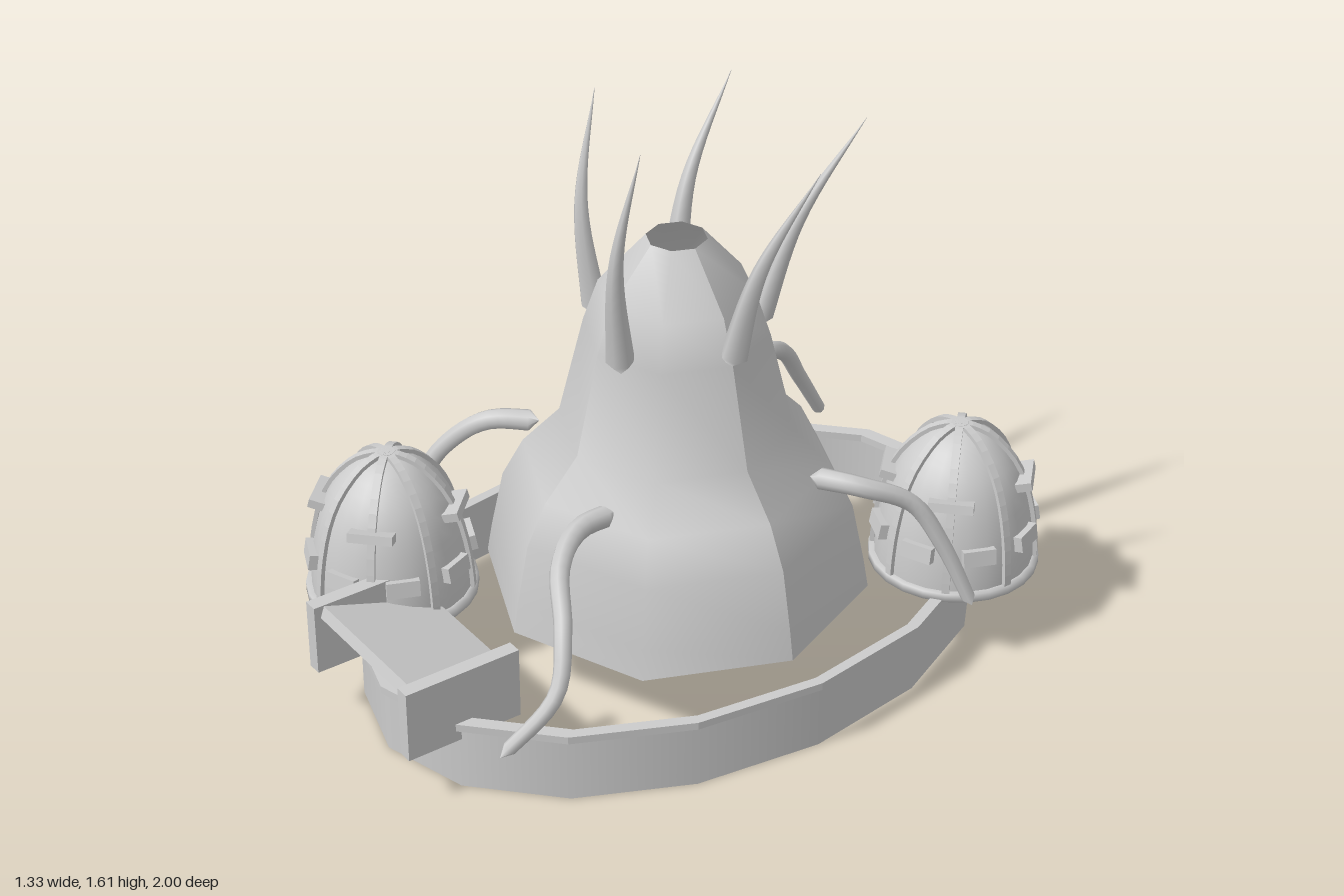
import * as THREE from 'three';

const grey = new THREE.MeshStandardMaterial({ color: 0xcccccc, side: THREE.DoubleSide });
grey.name = 'plain grey';

const v2 = (p) => p.map(([x, y]) => new THREE.Vector2(x, y));

function add(parent, name, geometry) {
  const mesh = new THREE.Mesh(geometry, grey);
  mesh.name = name;
  parent.add(mesh);
  return mesh;
}

// Tube along a smooth path whose radius follows a rule
function taperedTube(points, segments, sides, radiusAt) {
  const curve = new THREE.CatmullRomCurve3(points.map((p) => new THREE.Vector3(...p)));
  const geo = new THREE.TubeGeometry(curve, segments, 1, sides);
  const pos = geo.attributes.position;
  const v = new THREE.Vector3();
  for (let i = 0; i <= segments; i++) {
    const c = curve.getPointAt(i / segments);
    const r = radiusAt(i / segments);
    for (let j = 0; j <= sides; j++) {
      const k = i * (sides + 1) + j;
      v.fromBufferAttribute(pos, k).sub(c).multiplyScalar(r).add(c);
      pos.setXYZ(k, v.x, v.y, v.z);
    }
  }
  return geo;
}

// Ribbed dome with a rim, cap and plates
function makePod() {
  const pod = new THREE.Group();
  pod.name = 'domePod';
  const profile = new THREE.SplineCurve(v2([
    [0.224, 0.21], [0.222, 0.27], [0.212, 0.36], [0.188, 0.46],
    [0.15, 0.54], [0.092, 0.603], [0.04, 0.629], [0, 0.634],
  ])).getPoints(16);
  add(pod, 'dome', new THREE.LatheGeometry(profile, 24));
  add(pod, 'domeRim', new THREE.LatheGeometry(v2([
    [0.222, 0.205], [0.24, 0.205], [0.24, 0.23], [0.222, 0.23],
  ]), 24));
  add(pod, 'domeCap', new THREE.CylinderGeometry(0.024, 0.028, 0.02, 12)).position.y = 0.635;

  // Ribs follow the dome outline, slightly proud of it
  const outer = profile.map((p) => new THREE.Vector2(p.x + 0.012 * p.x / 0.224, p.y + 0.012 * (p.y - 0.21) / 0.43));
  const ribShape = new THREE.Shape([...outer, ...profile.slice().reverse()]);
  const ribGeo = new THREE.ExtrudeGeometry(ribShape, { depth: 0.022, bevelEnabled: false });
  ribGeo.translate(0, 0, -0.011);
  for (let i = 0; i < 8; i++) {
    add(pod, 'domeRib', ribGeo).rotation.y = i * Math.PI / 4;
  }

  // A row of plates set around the dome
  const plateRow = (name, count, r, y, tilt, size) => {
    for (let i = 0; i < count; i++) {
      const arm = new THREE.Group();
      arm.name = name;
      arm.rotation.y = (i + 0.5) * 2 * Math.PI / count;
      const plate = add(arm, name, new THREE.BoxGeometry(...size));
      plate.position.set(0, y, r);
      plate.rotation.x = tilt;
      pod.add(arm);
    }
  };
  plateRow('lowerPlate', 8, 0.218, 0.34, -0.17, [0.092, 0.046, 0.03]);
  plateRow('upperPlate', 4, 0.188, 0.487, -0.25, [0.125, 0.026, 0.045]);
  return pod;
}

export function createModel() {
  const model = new THREE.Group();
  model.name = 'hornedTower';

  // Oval base wall and its rim
  const base = new THREE.Group();
  base.name = 'ovalBase';
  base.position.z = -0.035;
  base.scale.set(0.667, 1, 0.965);
  add(base, 'baseWall', new THREE.LatheGeometry(v2([[0.985, 0], [0.985, 0.19]]), 16));
  const rimGeo = new THREE.LatheGeometry(v2([
    [0.955, 0.188], [1, 0.188], [1, 0.21], [0.955, 0.21], [0.955, 0.188],
  ]), 16).toNonIndexed();
  rimGeo.computeVertexNormals();
  add(base, 'baseRim', rimGeo);
  model.add(base);

  // Eight-sided hollow body, smooth inside each quarter
  const bodyProfile = v2([
    [0.54, 0.21], [0.525, 0.3], [0.49, 0.47], [0.43, 0.587],
    [0.325, 0.7], [0.255, 0.99], [0.213, 1.115], [0.083, 1.265],
  ]);
  const body = new THREE.Group();
  body.name = 'body';
  body.position.z = -0.032;
  for (let q = 0; q < 4; q++) {
    const geo = new THREE.LatheGeometry(bodyProfile, 2, q * Math.PI / 2, Math.PI / 2);
    geo.computeVertexNormals();
    add(body, 'bodyQuarter', geo);
  }
  model.add(body);

  // Horns: base and tip, sweeping up and then back
  const horns = [
    [[0.075, 0.96, 0.2], [0.115, 1.61, 0.163]],
    [[-0.19, 0.98, 0.1], [-0.308, 1.59, 0.015]],
    [[0.24, 0.98, -0.035], [0.377, 1.555, -0.21]],
    [[-0.185, 0.98, -0.15], [-0.303, 1.52, -0.43]],
    [[0.07, 0.95, -0.24], [0.115, 1.505, -0.568]],
  ];
  for (const [a, b] of horns) {
    const mid = a.map((c, i) => (c + b[i]) / 2);
    mid[1] += 0.02;
    mid[2] += 0.045;
    add(model, 'horn', taperedTube([a, mid, b], 16, 6,
      (t) => (t === 0 ? 0 : Math.max(0.0005, 0.041 * (1 - t)))));
  }

  // Arms reaching from the body down to the base
  const arms = [
    [[0.17, 0.61, 0.29], [0.19, 0.615, 0.42], [0.27, 0.58, 0.53], [0.4, 0.49, 0.61], [0.47, 0.36, 0.68], [0.43, 0.2, 0.83]],
    [[0.33, 0.61, -0.24], [0.44, 0.6, -0.33], [0.5, 0.53, -0.46], [0.55, 0.4, -0.53], [0.61, 0.2, -0.6]],
    [[-0.33, 0.61, 0.2], [-0.43, 0.6, 0.31], [-0.52, 0.5, 0.4], [-0.57, 0.37, 0.46], [-0.62, 0.2, 0.55]],
    [[-0.23, 0.61, -0.35], [-0.26, 0.615, -0.51], [-0.32, 0.55, -0.64], [-0.38, 0.4, -0.75], [-0.43, 0.2, -0.88]],
  ];
  for (const path of arms) {
    add(model, 'arm', taperedTube(path, 24, 8,
      (t) => (t === 0 || t === 1 ? 0.0005 : 0.031 - 0.012 * t)));
  }

  // Two domes at opposite corners
  for (const [x, z] of [[-0.393, 0.655], [0.392, -0.712]]) {
    const pod = makePod();
    pod.position.set(x, 0, z);
    model.add(pod);
  }

  // Front ramp held between two side plates
  const ramp = new THREE.Group();
  ramp.name = 'frontRamp';
  for (const s of [-1, 1]) {
    add(ramp, 'sidePlate', new THREE.BoxGeometry(0.042, 0.21, 0.345)).position.set(s * 0.235, 0.26, 0.8275);
  }
  const slab = add(ramp, 'rampSlab', new THREE.BoxGeometry(0.43, 0.036, 0.36));
  slab.position.set(0, 0.287, 0.805);
  slab.rotation.x = -0.33;
  model.add(ramp);

  return model;
}
